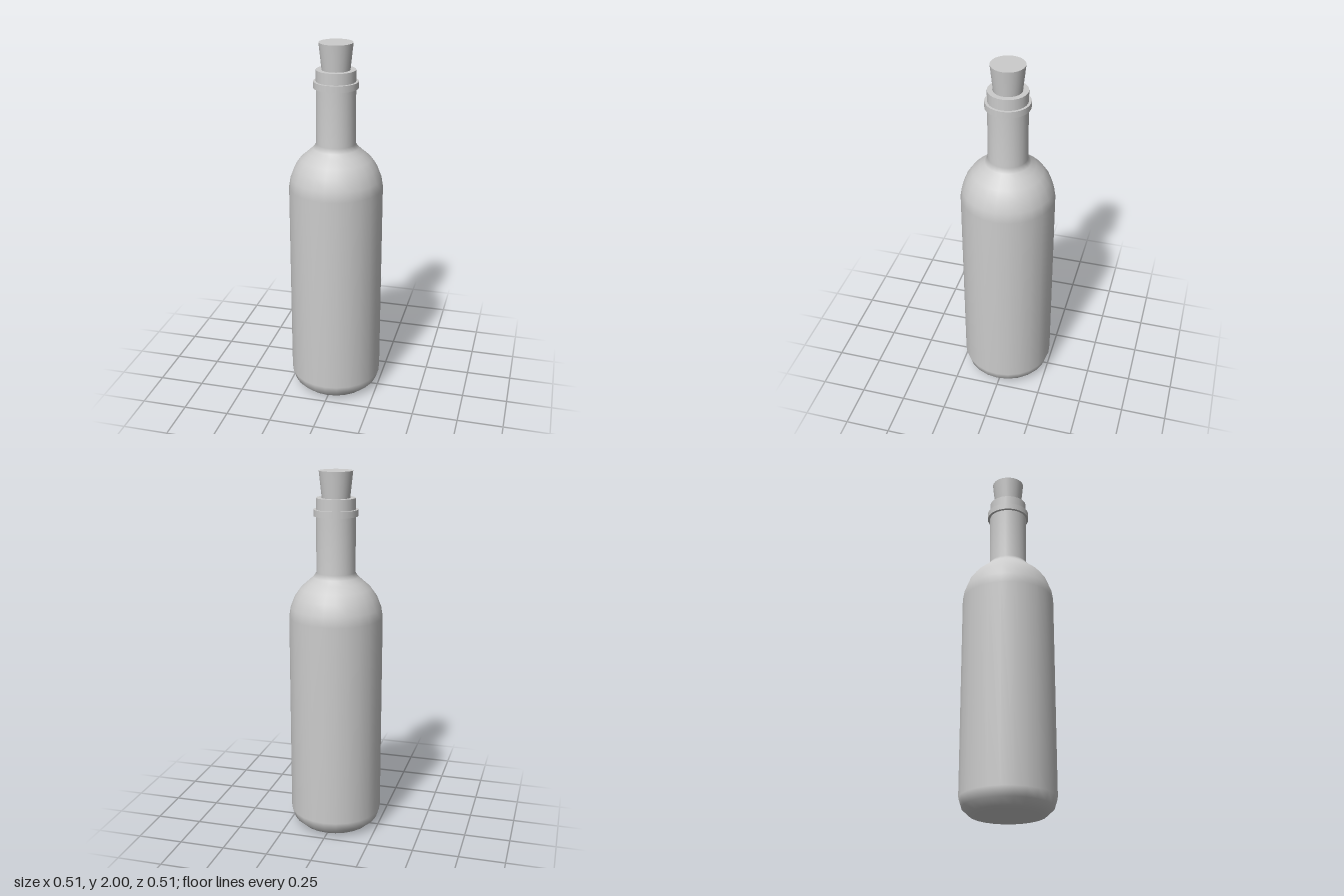
import * as THREE from 'three';

const SIDES = 24;
const material = new THREE.MeshStandardMaterial({ color: 0xcccccc });

// Revolve a smooth run of [radius, height] points, listed bottom to top on the outside
function lathe(name, profile) {
  const points = profile.map(([r, y]) => new THREE.Vector2(r, y));
  const mesh = new THREE.Mesh(new THREE.LatheGeometry(points, SIDES), material);
  mesh.name = name;
  return mesh;
}

// A group of lathed runs; the joins between runs stay sharp
function turned(name, runs) {
  const group = new THREE.Group();
  group.name = name;
  runs.forEach((run, i) => group.add(lathe(`${name}Surface${i + 1}`, run)));
  return group;
}

export function createModel() {
  const bottle = new THREE.Group();
  bottle.name = 'bottle';

  // Base, straight wall, rounded shoulder and neck in one smooth skin
  bottle.add(lathe('body', [
    [0, 0.005], [0.15, 0.005], [0.2, 0.015], [0.238, 0.05], [0.254, 0.1],
    [0.254, 1.22], [0.245, 1.275], [0.222, 1.335], [0.19, 1.38],
    [0.15, 1.415], [0.122, 1.44], [0.105, 1.465], [0.105, 1.77],
  ]));

  // Raised ring below the mouth
  bottle.add(turned('neckRing', [
    [[0.1, 1.765], [0.119, 1.765]],
    [[0.119, 1.765], [0.119, 1.8]],
    [[0.119, 1.8], [0.1, 1.8]],
  ]));

  // Mouth: outer wall, flat rim and bore
  bottle.add(turned('mouth', [
    [[0.105, 1.77], [0.105, 1.86]],
    [[0.105, 1.86], [0.076, 1.86]],
    [[0.076, 1.86], [0.076, 1.76]],
  ]));

  // Tapered cork stopper, pushed into the bore
  const cork = new THREE.Mesh(new THREE.CylinderGeometry(0.09, 0.064, 0.24, SIDES), material);
  cork.name = 'cork';
  cork.position.y = 1.88;
  bottle.add(cork);

  return bottle;
}
